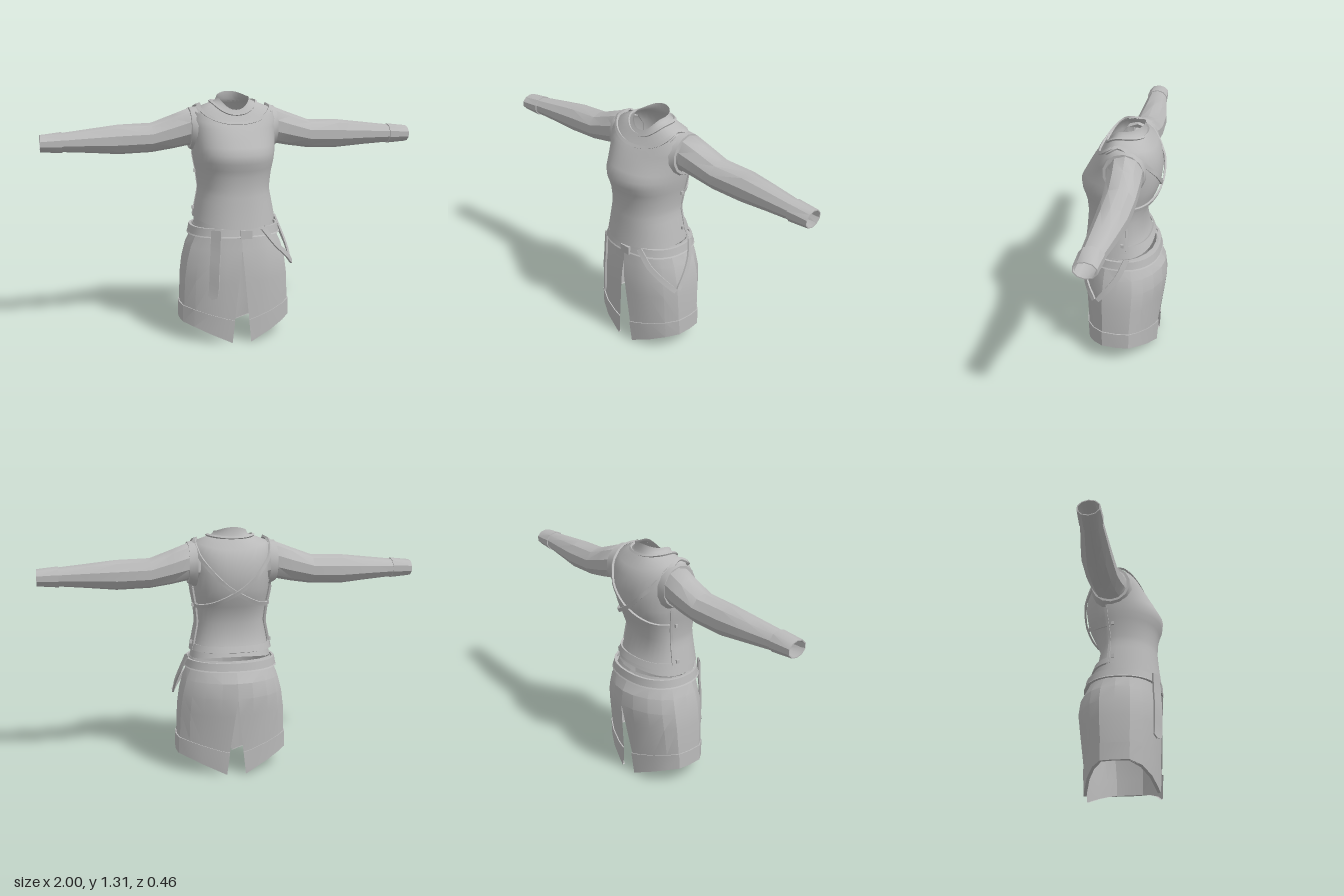
import * as THREE from 'three';
import { toCreasedNormals } from 'three/addons/utils/BufferGeometryUtils.js';

const cloth = new THREE.MeshStandardMaterial({ color: 0xbababa, side: THREE.DoubleSide });
cloth.name = 'grey cloth';

const { sin, cos, abs, sign, PI } = Math;
const V = (x, y, z) => new THREE.Vector3(x, y, z);

// Skins a list of equally long point rows; skip(centre) leaves a hole
function skin(rows, { closed = false, crease = 0.7, skip } = {}) {
  const n = rows[0].length, index = [];
  for (let i = 0; i < rows.length - 1; i++) {
    for (let j = 0; j < (closed ? n : n - 1); j++) {
      const k = (j + 1) % n;
      const mid = rows[i][j].clone().add(rows[i + 1][k]).multiplyScalar(0.5);
      if (skip && skip(mid)) continue;
      const a = i * n + j, b = i * n + k, c = a + n, d = b + n;
      index.push(a, b, d, a, d, c);
    }
  }
  const g = new THREE.BufferGeometry().setFromPoints(rows.flat());
  g.setIndex(index);
  g.computeVertexNormals();
  return toCreasedNormals(g, crease);
}

// Torso rows: front y, side y, back y, half width, front z, back z
const TORSO = [
  [0.60, 0.62, 0.64, 0.215, 0.205, -0.155],
  [0.70, 0.70, 0.70, 0.200, 0.192, -0.130],
  [0.81, 0.81, 0.81, 0.178, 0.182, -0.110],
  [0.905, 0.905, 0.905, 0.188, 0.19, -0.150],
  [0.95, 0.95, 0.95, 0.197, 0.208, -0.170],
  [0.99, 0.99, 0.99, 0.204, 0.220, -0.183],
  [1.09, 1.09, 1.075, 0.212, 0.165, -0.195],
  [1.14, 1.18, 1.15, 0.218, 0.132, -0.182],
  [1.165, 1.235, 1.20, 0.195, 0.112, -0.160],
  [1.195, 1.258, 1.25, 0.130, 0.095, -0.115],
  [1.215, 1.272, 1.272, 0.092, 0.083, -0.102],
  [1.225, 1.288, 1.312, 0.084, 0.078, -0.100],
];

function rowAt(y) {
  let i = 0;
  while (i < TORSO.length - 2 && y > TORSO[i + 1][1]) i++;
  const t = (y - TORSO[i][1]) / (TORSO[i + 1][1] - TORSO[i][1]);
  return TORSO[i].map((v, k) => v + (TORSO[i + 1][k] - v) * t);
}

const pow = (v, e) => sign(v) * abs(v) ** e;

function ringPoint([yF, yS, yB, w, zF, zB], a) {
  const c = cos(a);
  return V(w * pow(sin(a), 0.88), yS + ((c > 0 ? yF : yB) - yS) * c * c,
    (c > 0 ? zF : -zB) * pow(c, 0.88));
}

const ring = (row, n = 32) =>
  Array.from({ length: n }, (_, j) => ringPoint(row, (j / n) * 2 * PI));

// Point and outward normal on the torso at an angle and side height
function onTorso(a, y, off = 0) {
  const p = ringPoint(rowAt(y), a);
  const du = ringPoint(rowAt(y), a + 0.05).sub(ringPoint(rowAt(y), a - 0.05));
  const dv = ringPoint(rowAt(y + 0.015), a).sub(ringPoint(rowAt(y - 0.015), a));
  const normal = du.cross(dv).normalize();
  return { p: p.addScaledVector(normal, off), normal };
}

// Flat strap with thickness along points with normals; tip narrows the end
function strap(path, width, thick = 0.01, tip = 1) {
  const rows = path.map(({ p, normal }, i) => {
    const a = path[Math.max(i - 1, 0)].p, b = path[Math.min(i + 1, path.length - 1)].p;
    const side = b.clone().sub(a).cross(normal).normalize()
      .multiplyScalar((width / 2) * (i === path.length - 1 ? tip : 1));
    const out = normal.clone().multiplyScalar(thick);
    const l = p.clone().sub(side), r = p.clone().add(side);
    return [l, r, r.clone().add(out), l.clone().add(out)];
  });
  return skin(rows, { closed: true, crease: 0.6 });
}

function torsoStrap(keys, width, off, steps = 32) {
  const curve = new THREE.CatmullRomCurve3(keys.map(([a, y]) => V(a, y, 0)));
  return strap(curve.getPoints(steps).map(k => onTorso(k.x, k.y, off)), width);
}

function freeStrap(keys, width, tip) {
  const curve = new THREE.CatmullRomCurve3(keys.map(k => V(...k)));
  return strap(curve.getPoints(10).map(p => ({ p, normal: V(p.x, 0, p.z).normalize() })), width, 0.01, tip);
}

// Sleeve rows: x, centre y, centre z, half height, half depth
const tube = (rows, s, n = 10) => skin(rows.map(([x, y, z, ry, rz]) =>
  Array.from({ length: n }, (_, j) => {
    const a = ((j + 0.5) / n) * 2 * PI;
    return V(s * x, y + ry * sin(a), z + rz * cos(a));
  })), { closed: true, crease: 0.6 });

// Skirt rows: y, half width, front z, back z, roundness, share of the hem drop
const SKIRT = [
  [0.62, 0.222, 0.195, -0.165, 1, 0],
  [0.565, 0.238, 0.200, -0.190, 1, 0],
  [0.51, 0.260, 0.205, -0.220, 0.75, 0],
  [0.43, 0.277, 0.214, -0.230, 0.5, 0],
  [0.34, 0.286, 0.212, -0.218, 0.3, 0.1],
  [0.19, 0.289, 0.204, -0.190, 0.1, 0.65],
  [0.10, 0.289, 0.198, -0.183, 0, 1],
];
const COLUMNS = [[0, 1], [0.3, 0.96], [0.57, 0.86], [0.83, 0.66], [1, 0.38], [1.02, 0], [1, -0.36],
  [0.84, -0.6], [0.6, -0.8], [0.3, -0.95], [0, -1]];

// Half of the skirt, open along front and back slits
const skirtRow = ([y, w, zF, zB, round, drop], s, off = 0) => COLUMNS.map(([cx, cz], j) => {
  const k = 1 + (1 / Math.hypot(cx, cz) - 1) * round;
  let x = (w + off) * cx * k;
  const z = (cz > 0 ? zF + off : -zB + off) * cz * k;
  const h = y - drop * 0.1 * Math.min(1, Math.max(0, 1 - (abs(x) - 0.05) / 0.23));
  const end = j === 0 ? 0.5 : j === COLUMNS.length - 1 ? 0.43 : 0;
  if (end) x = Math.max(0, 0.052 * (end - h) / end);
  return V(s * x, Math.max(h, 0), z);
});

export function createModel() {
  const model = new THREE.Group();
  model.name = 'outfit';
  const add = (name, geometry) => {
    const m = new THREE.Mesh(geometry, cloth);
    m.name = name;
    model.add(m);
    return m;
  };
  const armhole = p => abs(p.x) > 0.14 && Math.hypot(p.y - 1.1, p.z + 0.025) < 0.07;

  // Shirt body with collar
  add('shirtBody', skin(TORSO.map(r => ring(r)), { closed: true, crease: 1.2, skip: armhole }));
  add('collarSeam', torsoStrap([[-PI, 1.262], [0, 1.262], [PI, 1.262]], 0.012, 0, 40));

  // Vest front, wrapping round to the sides
  const vest = [];
  for (let i = 0; i <= 16; i++) {
    vest.push(Array.from({ length: 29 }, (_, j) => {
      const a = -1.83 + (3.66 * j) / 28, low = 0.632 + 0.025 * sin(a) ** 2;
      return onTorso(a, low + ((1.215 - low) * i) / 16, 0.012).p;
    }));
  }
  add('vestFront', skin(vest, { crease: 1.2, skip: armhole }));
  add('necklineTrim', torsoStrap([[-1.35, 1.238], [-0.7, 1.22], [0, 1.205], [0.7, 1.22], [1.35, 1.238]], 0.016, 0.006));
  add('backWaistBand', torsoStrap([[1.75, 0.68], [PI, 0.665], [2 * PI - 1.75, 0.68]], 0.035, 0.004));

  for (const s of [1, -1]) {
    // Sleeves and cuffs
    add('sleeve', tube([
      [0.17, 1.115, -0.03, 0.105, 0.095], [0.235, 1.132, -0.04, 0.097, 0.092],
      [0.32, 1.108, -0.045, 0.089, 0.088], [0.43, 1.08, -0.046, 0.077, 0.084],
      [0.6, 1.075, -0.045, 0.077, 0.080], [0.75, 1.073, -0.034, 0.062, 0.068],
      [0.89, 1.07, -0.022, 0.049, 0.055], [0.99, 1.068, -0.018, 0.040, 0.052]], s));
    add('cuff', tube([[0.89, 1.07, -0.021, 0.049, 0.055], [0.89, 1.07, -0.021, 0.054, 0.061],
      [1, 1.068, -0.016, 0.044, 0.057], [1, 1.068, -0.016, 0.039, 0.052]], s));
    add('armholeTrim', tube([[0.19, 1.118, -0.025, 0.122, 0.115], [0.232, 1.128, -0.03, 0.108, 0.105],
      [0.232, 1.128, -0.03, 0.095, 0.09]], s, 14));

    // Straps over the shoulders, crossing on the back
    add('crossStrap', torsoStrap([[1.1, 1.225], [1.6, 1.24], [2.1, 1.2], [2.6, 1.1], [PI, 0.985],
      [3.65, 0.93], [4.1, 0.91], [4.5, 0.905]].map(([a, y]) => [s * a, y]), 0.02, s > 0 ? 0.003 : 0.007));
    add('vestSideTrim', torsoStrap([[1.83, 0.66], [1.83, 0.82], [1.83, 1.0]].map(([a, y]) => [s * a, y]), 0.014, 0.006, 12));
    for (const y of [0.905, 0.70]) {
      const button = add('vestButton', new THREE.BoxGeometry(0.012, 0.018, 0.016));
      button.position.copy(onTorso(s * 1.68, y, 0.015).p);
    }

    // Skirt half and its hem band
    add('skirtHalf', skin(SKIRT.map(r => skirtRow(r, s)), { crease: 0.35 }));
    add('hemBand', skin([skirtRow(SKIRT[5], s), skirtRow(SKIRT[5], s, 0.006), skirtRow(SKIRT[6], s, 0.006),
      skirtRow(SKIRT[6], s, -0.01)], { crease: 0.35 }));
  }

  // Belt, rising slightly to its upper edge
  const belt = (name, low, high, out) => add(name, skin([[low, 0], [low, out], [high, out - 0.008], [high, -0.008]].map(
    ([y, o]) => ring([y + 0.004, y, y - 0.004, 0.235 + o, 0.198 + o, -0.184 - o])), { closed: true, crease: 0.5 }));
  belt('belt', 0.575, 0.617, 0.012);
  belt('beltLowerEdge', 0.570, 0.582, 0.016);
  const buckle = add('beltBuckle', new THREE.BoxGeometry(0.06, 0.045, 0.014));
  buckle.position.set(0.02, 0.59, 0.211);

  // Hanging belt end and looped side straps
  add('beltTail', freeStrap([[-0.135, 0.615, 0.195], [-0.138, 0.52, 0.197], [-0.145, 0.42, 0.202],
    [-0.15, 0.29, 0.2], [-0.158, 0.25, 0.198]], 0.055, 0.1));
  add('sideStrapFront', freeStrap([[0.11, 0.62, 0.195], [0.18, 0.53, 0.188], [0.25, 0.46, 0.155], [0.293, 0.405, 0.115]], 0.028, 0.8));
  add('sideStrapBack', freeStrap([[0.238, 0.635, -0.045], [0.268, 0.55, -0.01], [0.288, 0.47, 0.045], [0.293, 0.405, 0.095]], 0.028, 0.8));
  return model;
}
